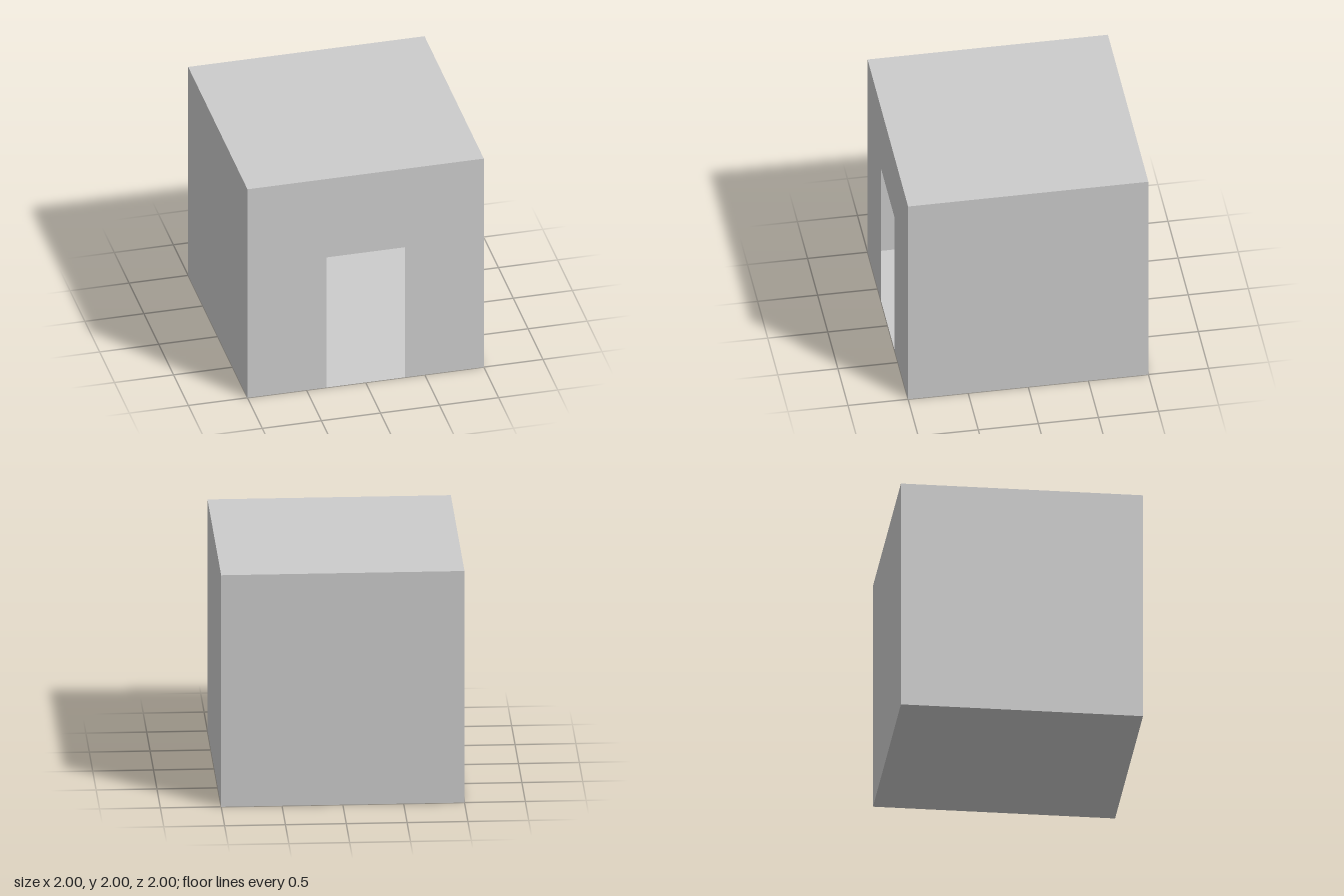
import * as THREE from 'three';

const SIZE = 2, HALF = SIZE / 2;
const DOOR_HALF = 0.333, DOOR_HEIGHT = 1.375;

export function createModel() {
  const room = new THREE.Group();
  room.name = 'room';
  // Thin walls, seen from inside and outside
  const material = new THREE.MeshStandardMaterial({ color: 0xcccccc, side: THREE.DoubleSide });

  function addPanel(name, geometry, position, rotation = [0, 0, 0]) {
    const mesh = new THREE.Mesh(geometry, material);
    mesh.name = name;
    mesh.position.set(...position);
    mesh.rotation.set(...rotation);
    room.add(mesh);
  }

  // Plain walls, floor and ceiling, each facing outwards
  const square = new THREE.PlaneGeometry(SIZE, SIZE);
  addPanel('backWall', square, [0, HALF, -HALF], [0, Math.PI, 0]);
  addPanel('leftWall', square, [HALF, HALF, 0], [0, Math.PI / 2, 0]);
  addPanel('rightWall', square, [-HALF, HALF, 0], [0, -Math.PI / 2, 0]);
  addPanel('ceiling', square, [0, SIZE, 0], [-Math.PI / 2, 0, 0]);
  addPanel('floor', square, [0, 0, 0], [Math.PI / 2, 0, 0]);

  // Front wall outline, notched by a doorway that reaches the floor
  const outline = [
    [-HALF, 0], [-DOOR_HALF, 0], [-DOOR_HALF, DOOR_HEIGHT], [DOOR_HALF, DOOR_HEIGHT],
    [DOOR_HALF, 0], [HALF, 0], [HALF, SIZE], [-HALF, SIZE],
  ].map(([x, y]) => new THREE.Vector2(x, y));
  addPanel('frontWall', new THREE.ShapeGeometry(new THREE.Shape(outline)), [0, 0, HALF]);

  return room;
}
